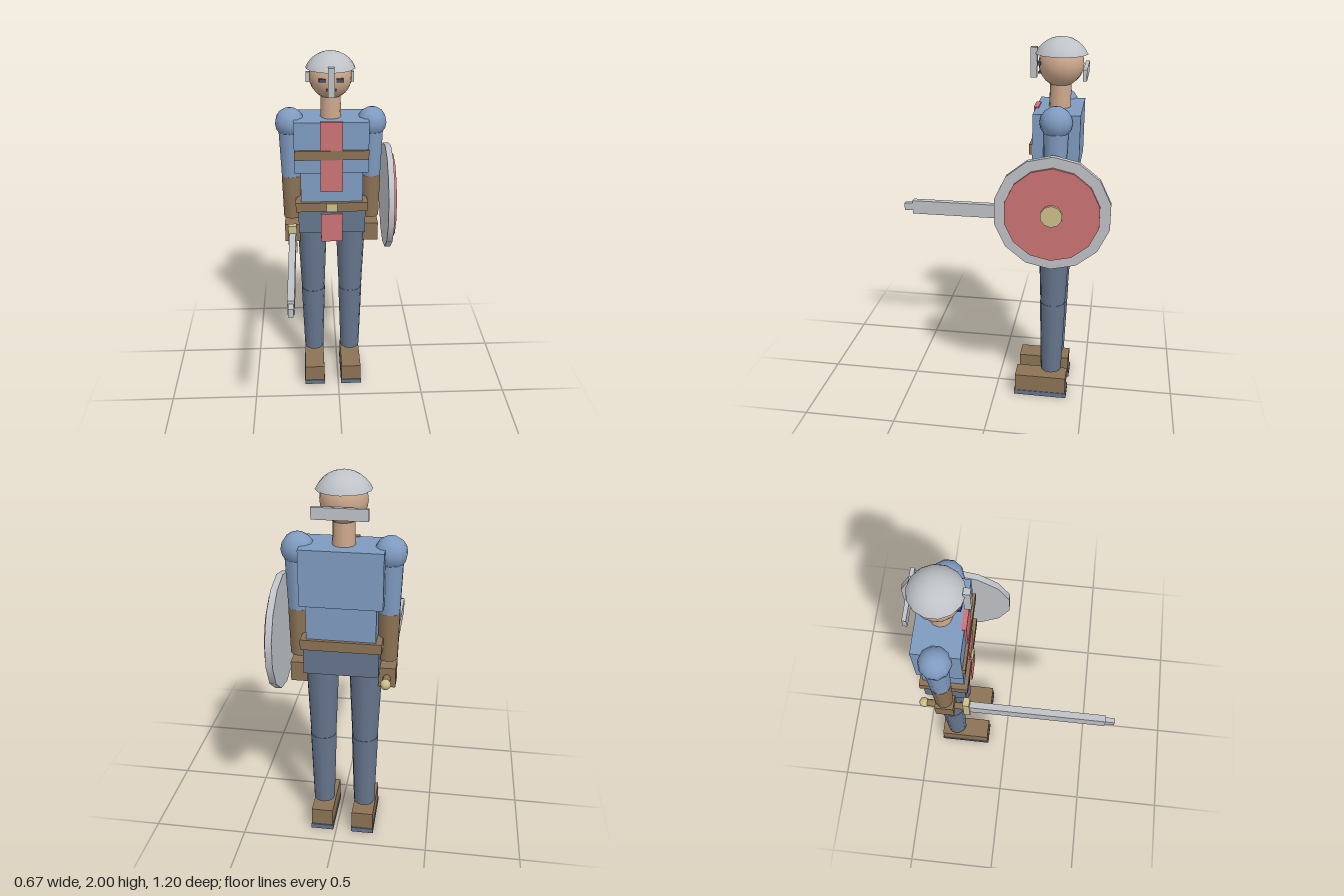
import * as THREE from 'three';

export function createModel() {
  const root = new THREE.Group();
  root.name = 'shieldBearer';

  const mat = (name, color, side = THREE.FrontSide) =>
    Object.assign(new THREE.MeshStandardMaterial({ color, side }), { name });
  const blue = mat('tunicBlue', 0x7f9bc0);
  const slate = mat('slateBlue', 0x66768e);
  const brown = mat('leatherBrown', 0x8c7355);
  const red = mat('tabardRed', 0xcd7375);
  const steel = mat('steel', 0xbfc2c7, THREE.DoubleSide);
  const gold = mat('brass', 0xcdc08a);
  const skin = mat('skin', 0xcda88c);
  const dark = mat('darkFeatures', 0x46506a);

  const CX = -0.033, CZ = -0.313; // body axis

  const add = (name, geometry, material, x, y, z) => {
    const m = new THREE.Mesh(geometry, material);
    m.name = name;
    m.position.set(x, y, z);
    root.add(m);
    return m;
  };
  // box given by its limits on each axis
  const box = (name, material, [x0, x1], [y0, y1], [z0, z1]) =>
    add(name, new THREE.BoxGeometry(x1 - x0, y1 - y0, z1 - z0), material,
      (x0 + x1) / 2, (y0 + y1) / 2, (z0 + z1) / 2);
  // upright limb segment from y0 to y1
  const limb = (name, material, x, y0, y1, r0, r1, sides = 12) =>
    add(name, new THREE.CylinderGeometry(r1, r0, y1 - y0, sides), material, x, (y0 + y1) / 2, CZ);
  const ball = (name, material, r, sides, rings, x, y, z) =>
    add(name, new THREE.SphereGeometry(r, sides, rings).rotateY(Math.PI / 2), material, x, y, z);
  const about = (c, half) => [c - half, c + half];

  // torso
  box('chest', blue, [-0.236, 0.17], [1.363, 1.649], [-0.431, -0.195]);
  box('abdomen', blue, [-0.204, 0.14], [1.16, 1.363], [-0.42, -0.206]);
  box('pelvis', slate, [-0.22, 0.156], [0.997, 1.16], [-0.423, -0.203]);
  box('belt', brown, [-0.234, 0.168], [1.135, 1.188], [-0.438, -0.186]);
  box('buckle', gold, about(CX, 0.03), [1.137, 1.186], [-0.19, -0.178]);
  box('tabardUpper', red, about(CX, 0.061), [1.257, 1.654], [-0.21, -0.185]);
  box('tabardLower', red, about(CX, 0.061), [0.949, 1.119], [-0.205, -0.187]);
  box('chestStrap', brown, [-0.236, 0.17], [1.443, 1.495], [-0.2, -0.18]);

  // head
  limb('neck', skin, CX, 1.64, 1.78, 0.057, 0.053);
  ball('head', skin, 0.115, 16, 12, CX, 1.866, CZ);
  for (const s of [-1, 1])
    box('eye', dark, about(CX + s * 0.046, 0.018), [1.864, 1.881], [-0.215, -0.197]);
  box('mouth', dark, about(CX, 0.027), [1.816, 1.826], [-0.215, -0.2]);

  // helmet: shallow cap, nose bar and neck plate
  const cap = new THREE.SphereGeometry(0.147, 14, 6, 0, Math.PI * 2, 0, Math.acos(0.062 / 0.147));
  add('helmetCap', cap.rotateY(Math.PI / 2), steel, CX, 1.853, CZ);
  box('noseBar', steel, about(CX, 0.017), [1.793, 1.946], [-0.192, -0.159]);
  box('neckPlate', steel, about(CX, 0.132), [1.804, 1.861], [-0.45, -0.43]);

  // arms, legs and boots on both sides
  for (const s of [-1, 1]) {
    const side = s > 0 ? 'left' : 'right';
    const ax = CX + s * 0.224, lx = CX + s * 0.111;
    ball(side + 'Shoulder', blue, 0.082, 10, 8, ax, 1.616, CZ);
    limb(side + 'UpperArm', blue, ax, 1.312, 1.6, 0.054, 0.065, 10);
    limb(side + 'Forearm', brown, ax, 1.06, 1.312, 0.049, 0.055, 10);
    box(side + 'Hand', brown, about(ax, 0.043), [0.917, 1.023], about(CZ, 0.05));
    limb(side + 'Thigh', slate, lx, 0.585, 1.02, 0.068, 0.086);
    limb(side + 'Shin', slate, lx, 0.16, 0.585, 0.057, 0.07);
    box(side + 'Boot', brown, about(lx, 0.058), [0.027, 0.125], [-0.401, -0.115]);
    box(side + 'Sole', slate, about(lx, 0.061), [0, 0.027], [-0.407, -0.11]);
  }

  // sword held forward in the right hand
  const SX = -0.256, SY = 0.968;
  const grip = add('swordGrip', new THREE.CylinderGeometry(0.02, 0.02, 0.2, 8), brown, SX, SY, -0.313);
  grip.rotation.x = Math.PI / 2;
  ball('swordPommel', gold, 0.028, 8, 6, SX, SY, -0.429);
  box('swordGuard', gold, about(SX, 0.024), about(SY, 0.083), [-0.214, -0.179]);
  box('swordBlade', steel, about(SX, 0.018), about(SY, 0.04), [-0.179, 0.55]);
  box('swordTip', steel, about(SX, 0.013), about(SY, 0.022), [0.55, 0.6]);

  // round shield beside the left arm, facing +x
  const disc = (name, material, r, sides, x0, x1) => {
    const g = new THREE.CylinderGeometry(r, r, x1 - x0, sides);
    g.rotateY(Math.PI / 2).rotateZ(-Math.PI / 2);
    add(name, g, material, (x0 + x1) / 2, 1.178, CZ);
  };
  disc('shieldRim', steel, 0.297, 14, 0.268, 0.301);
  disc('shieldFace', red, 0.243, 14, 0.295, 0.317);
  disc('shieldBoss', gold, 0.056, 10, 0.31, 0.334);

  return root;
}
